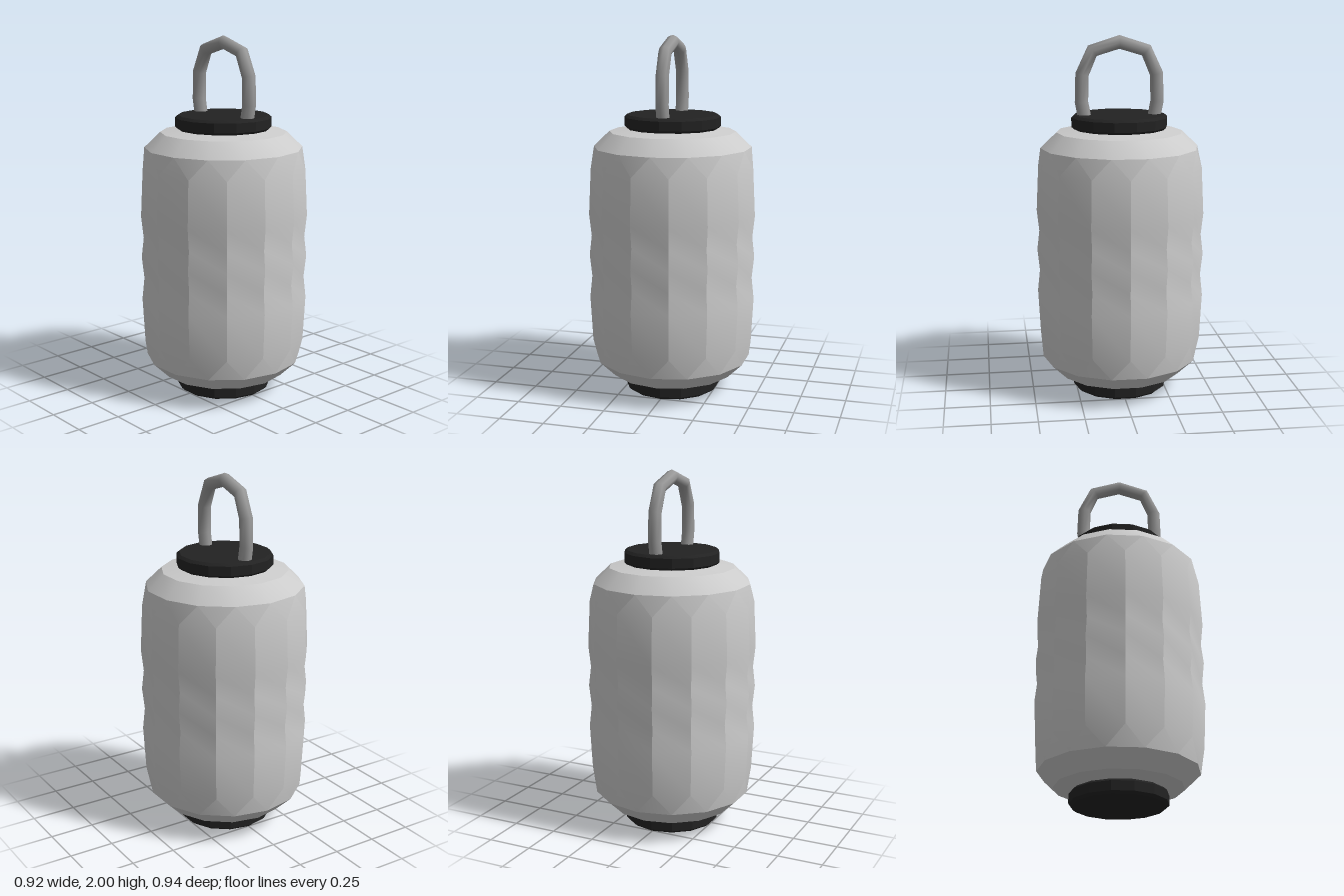
import * as THREE from 'three';
import { toCreasedNormals } from 'three/addons/utils/BufferGeometryUtils.js';

const SIDES = 14;
const HALF_STEP = Math.PI / SIDES;

const paint = (color) => new THREE.MeshStandardMaterial({ color });

function addMesh(group, name, geometry, material) {
  const mesh = new THREE.Mesh(geometry, material);
  mesh.name = name;
  group.add(mesh);
  return mesh;
}

// Faceted lathe from [radius, y, turn] rings; turn offsets a ring by half steps
function ringedLathe(rings, crease) {
  const geometry = new THREE.LatheGeometry(rings.map(([r, y]) => new THREE.Vector2(r, y)), SIDES);
  const pos = geometry.attributes.position;
  for (let i = 0; i < pos.count; i++) {
    const [r, y, turn = 0] = rings[i % rings.length];
    const column = Math.floor(i / rings.length) % SIDES;
    const angle = (2 * column + turn) * HALF_STEP;
    pos.setXYZ(i, r * Math.sin(angle), y, r * Math.cos(angle));
  }
  return toCreasedNormals(geometry, crease);
}

// Polyline that a tube follows corner by corner
class CornerCurve extends THREE.Curve {
  constructor(points) {
    super();
    this.points = points;
  }
  getPointAt(u, target = new THREE.Vector3()) {
    return target.copy(this.points[Math.round(u * (this.points.length - 1))]);
  }
  getTangentAt(u, target = new THREE.Vector3()) {
    const last = this.points.length - 1;
    const i = Math.round(u * last);
    const before = this.points[Math.max(i - 1, 0)];
    const after = this.points[Math.min(i + 1, last)];
    return target.copy(after).sub(before).normalize();
  }
}

export function createModel() {
  const group = new THREE.Group();
  const shadeMaterial = paint(0xcccccc);
  const capMaterial = paint(0x222222);
  const handleMaterial = paint(0x999999);

  // Ribbed lantern body; the shoulder rings sit half a step off the wall rings
  const body = [
    [0.2, 0.075, -1], [0.35, 0.1, -1], [0.438, 0.185, -1],
    [0.457, 0.3], [0.47, 0.55], [0.457, 0.67], [0.47, 0.79],
    [0.457, 0.9], [0.47, 1.02], [0.457, 1.28],
    [0.438, 1.39, 1], [0.35, 1.475, 1], [0.2, 1.5, 1],
  ];
  addMesh(group, 'lanternBody', ringedLathe(body, 0.42), shadeMaterial);

  // Bevelled end caps
  const cap = [
    [0, 0, 1], [0.25, 0, 1], [0.266, 0.014, 1],
    [0.266, 0.066, 1], [0.25, 0.08, 1], [0, 0.08, 1],
  ];
  const capGeometry = ringedLathe(cap, 0.3);
  addMesh(group, 'bottomCap', capGeometry, capMaterial);
  addMesh(group, 'topCap', capGeometry, capMaterial).position.y = 1.49;

  // Carrying loop, mirrored about the centre
  const half = [[0.188, 1.53], [0.209, 1.64], [0.205, 1.79], [0.148, 1.917]];
  const path = [
    ...half.map(([x, y]) => new THREE.Vector3(-x, y, 0)),
    new THREE.Vector3(0, 1.963, 0),
    ...half.map(([x, y]) => new THREE.Vector3(x, y, 0)).reverse(),
  ];
  const loop = new THREE.TubeGeometry(new CornerCurve(path), path.length - 1, 0.037, 8, false);
  addMesh(group, 'handle', loop, handleMaterial);

  return group;
}
